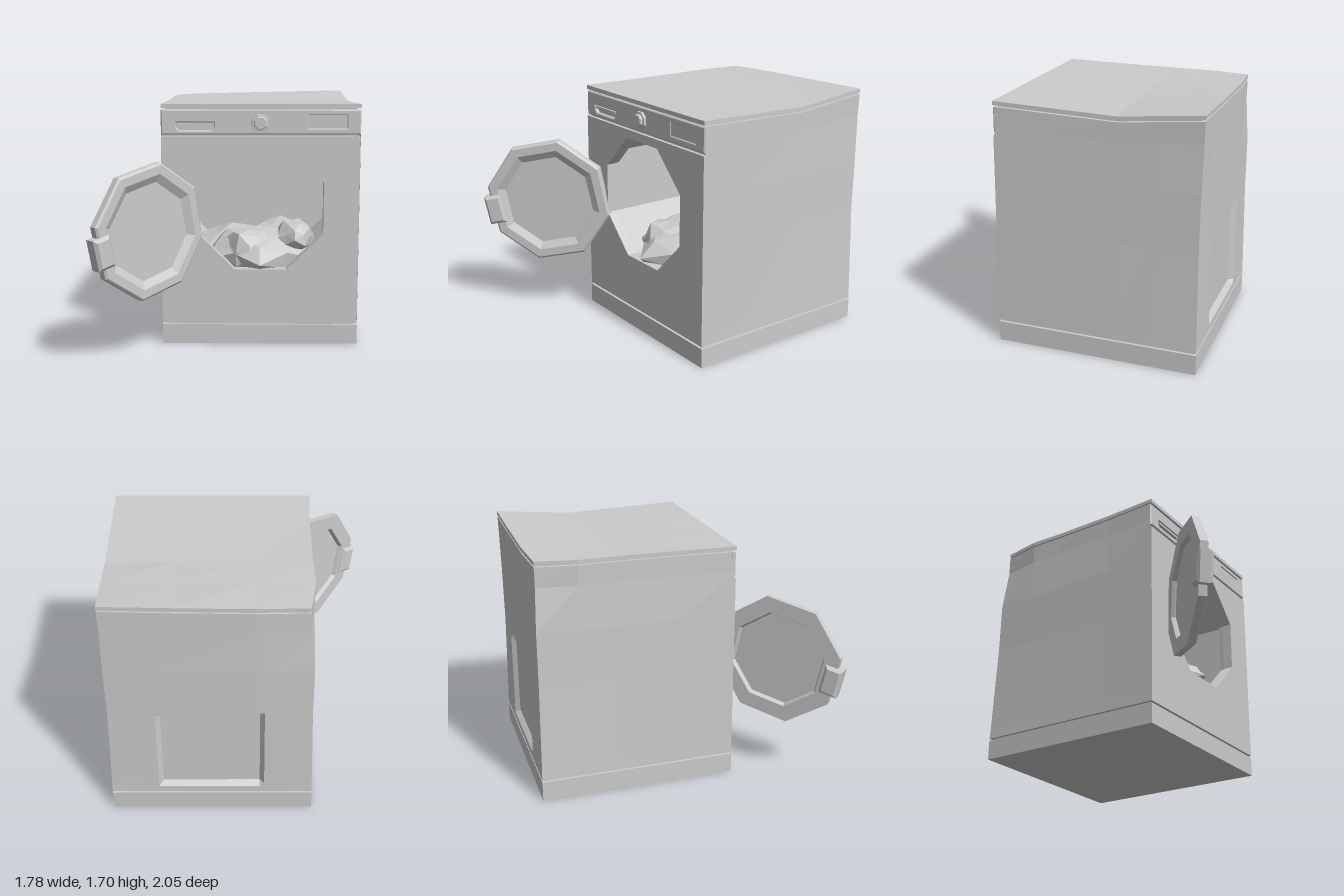
import * as THREE from 'three';

const grey = new THREE.MeshStandardMaterial({ color: 0xcccccc, flatShading: true, side: THREE.DoubleSide });
const CX = 0.195, HOLE_Y = 0.96, FRONT = 0.37;
const clamp = THREE.MathUtils.clamp, smooth = THREE.MathUtils.smoothstep;

function add(parent, name, geo, x = 0, y = 0, z = 0) {
  const m = new THREE.Mesh(geo, grey);
  m.name = name;
  m.position.set(x, y, z);
  parent.add(m);
  return m;
}

// box given by its limits
function slab(parent, name, x0, x1, y0, y1, z0, z1) {
  return add(parent, name, new THREE.BoxGeometry(x1 - x0, y1 - y0, z1 - z0),
    (x0 + x1) / 2, (y0 + y1) / 2, (z0 + z1) / 2);
}

function rectPath(x0, x1, y0, y1, c = 0) {
  const p = [[x0 + c, y0], [x1 - c, y0], [x1, y0 + c], [x1, y1], [x0, y1], [x0, y0 + c]];
  return p.map(([x, y]) => new THREE.Vector2(x, y));
}

function octagon(r, start = Math.PI / 8) {
  return Array.from({ length: 8 }, (_, i) => new THREE.Vector2(
    CX + r * Math.cos(start + i * Math.PI / 4), HOLE_Y + r * Math.sin(start + i * Math.PI / 4)));
}

// dents in the sheet metal, growing towards the back and the top
function dent(v) {
  const t = clamp((0.36 - v.z) / 1.36, 0, 1);
  const high = smooth(v.y, 1.1, 1.6);
  const side = (v.x - CX) / 0.675;
  const left = Math.max(0, side), right = Math.max(0, -side);
  const wave = t < 0.6 ? -0.025 * t / 0.6 : -0.025 + 0.055 * (t - 0.6) / 0.4;
  const mid = Math.sin(Math.PI * clamp((v.y - 0.15) / 1.5, 0, 1));
  v.y += high * wave * (side + 1) / 2;
  v.x += right ** 3 * (high * 0.06 * smooth(t, 0.75, 1) + 0.025 * Math.sin(Math.PI * t) * high + 0.02 * mid * t);
  v.x -= left ** 3 * (high * 0.018 * t + 0.018 * mid * t);
  if (t > 0.98) v.z += high * 0.025 * right ** 2 + 0.012 * mid * side * side;
  return v;
}

// box whose grid lines lie at the given coordinates, dented
function dentedBox(xs, ys, zs, shift) {
  const n = [xs.length - 1, ys.length - 1, zs.length - 1];
  const geo = new THREE.BoxGeometry(1, 1, 1, ...n);
  const pos = geo.attributes.position, v = new THREE.Vector3();
  const pick = (list, k, c) => list[Math.round((c + 0.5) * k)];
  for (let i = 0; i < pos.count; i++) {
    v.fromBufferAttribute(pos, i);
    v.set(pick(xs, n[0], v.x), pick(ys, n[1], v.y), pick(zs, n[2], v.z));
    if (shift) shift(v);
    dent(v);
    pos.setXYZ(i, v.x, v.y, v.z);
  }
  geo.computeVertexNormals();
  return geo;
}

function extrude(points, holes, depth, bevel) {
  const shape = new THREE.Shape(points);
  shape.holes = holes.map(h => new THREE.Path(h));
  return new THREE.ExtrudeGeometry(shape, {
    depth, bevelEnabled: bevel > 0, bevelSize: bevel, bevelThickness: bevel, bevelOffset: -bevel, bevelSegments: 1,
  });
}

// eight-sided ring profile turned to face +z
function turned(points, segments = 8, start = Math.PI / 8) {
  const geo = new THREE.LatheGeometry(points.map(([r, z]) => new THREE.Vector2(r, z)), segments);
  return geo.rotateX(Math.PI / 2).rotateZ(start);
}

// crumpled cloth lump
function lump(parent, x, y, z, sx, sy, sz, seed) {
  const geo = new THREE.IcosahedronGeometry(1, 1);
  const pos = geo.attributes.position, v = new THREE.Vector3();
  for (let i = 0; i < pos.count; i++) {
    v.fromBufferAttribute(pos, i);
    const k = 1 + 0.14 * Math.sin(v.x * 5 + seed) * Math.cos(v.z * 4 + seed * 2) + 0.05 * Math.sin(v.y * 7 + seed);
    pos.setXYZ(i, v.x * sx * k, v.y * sy * k, v.z * sz * k);
  }
  geo.computeVertexNormals();
  add(parent, 'laundryLump', geo, x, y, z).rotation.z = 0.1 * Math.sin(seed * 3);
}

function buildCabinet(root) {
  const cabinet = new THREE.Group();
  cabinet.name = 'cabinet';
  root.add(cabinet);

  // plinth and the shadow gaps below and above the body
  slab(cabinet, 'plinth', -0.485, 0.87, 0, 0.137, -1, FRONT);
  slab(cabinet, 'lowerGap', -0.465, 0.85, 0.13, 0.17, -0.98, 0.35);
  add(cabinet, 'upperGap', dentedBox([-0.46, 0.2, 0.845], [1.62, 1.655], [-0.97, -0.7, -0.45, 0, 0.35]));

  // body shell, open at the front, with a recessed service panel in the back
  const body = dentedBox(
    [-0.485, -0.16, -0.13, 0.52, 0.55, 0.87],
    [0.152, 0.2, 0.23, 0.83, 0.86, 1.2, 1.5, 1.635],
    [-1, -0.7, -0.45, 0, 0.36],
    v => {
      if (v.z === -1 && v.x > -0.15 && v.x < 0.53 && v.y > 0.22 && v.y < 0.84) v.z += 0.035;
    });
  const open = body.groups[4];
  const index = Array.from(body.index.array);
  index.splice(open.start, open.count);
  body.setIndex(index);
  body.clearGroups();
  add(cabinet, 'bodyShell', body);

  // front panel with the loading opening
  add(cabinet, 'frontPanel',
    extrude(rectPath(-0.483, 0.868, 0.152, 1.45), [octagon(0.465)], 0.07, 0), 0, 0, FRONT - 0.07);

  // worktop
  add(cabinet, 'worktop', dentedBox(
    [-0.485, -0.1, 0.4, 0.87], [1.645, 1.672], [-1, -0.7, -0.45, 0, FRONT]));
}

function buildControls(root) {
  const controls = new THREE.Group();
  controls.name = 'controlPanel';
  root.add(controls);
  slab(controls, 'controlBacking', -0.475, 0.86, 1.44, 1.63, 0.3, 0.345);
  add(controls, 'controlFascia', extrude(rectPath(-0.485, 0.87, 1.465, 1.635), [
    rectPath(-0.38, -0.125, 1.493, 1.545, 0.02),
    rectPath(0.52, 0.775, 1.51, 1.595),
  ], 0.02, 0.008), 0, 0, 0.34);
  slab(controls, 'displayWindow', 0.51, 0.785, 1.5, 1.605, 0.34, 0.362);
  slab(controls, 'drawerGrip', -0.37, -0.135, 1.525, 1.54, 0.34, 0.366);
  // dial
  add(controls, 'dial', turned([[0, 0.405 - FRONT], [0.04, 0.405 - FRONT], [0.047, 0.028],
    [0.047, 0.016], [0.062, 0.014], [0.065, -0.01]]), 0.19, 1.545, FRONT);
}

function buildDrum(root) {
  const drum = new THREE.Group();
  drum.name = 'drum';
  root.add(drum);
  add(drum, 'drumWall', turned([[0.465, 0.31], [0.47, 0.27], [0.6, 0.26], [0.6, -0.8], [0, -0.8]]), CX, HOLE_Y, 0);
  // washing heaped in the drum
  lump(drum, 0.19, 0.56, -0.1, 0.4, 0.19, 0.42, 1);
  lump(drum, 0.12, 0.58, 0.08, 0.2, 0.18, 0.2, 2.2);
  lump(drum, 0.44, 0.7, 0.0, 0.13, 0.12, 0.2, 3.1);
  lump(drum, 0.0, 0.58, -0.35, 0.3, 0.14, 0.3, 4.5);
  lump(drum, 0.36, 0.6, -0.4, 0.26, 0.17, 0.3, 5.2);
}

function buildDoor(root) {
  // door swung open by 135 degrees; its own +z is the inner face
  const door = new THREE.Group();
  door.name = 'door';
  door.position.set(-0.54, 0.855, 0.68);
  door.rotation.y = Math.PI / 4;
  root.add(door);
  const tilt = THREE.MathUtils.degToRad(79.4);
  add(door, 'doorRing', turned([[0.33, 0], [0.385, 0.03], [0.445, 0.03], [0.46, 0.018], [0.46, -0.03],
    [0.345, -0.03], [0.335, -0.012], [0.33, 0]], 8, tilt));
  add(door, 'doorPane', turned([[0, 0], [0.335, 0]], 8, tilt));

  // bevelled handle on the free edge
  const a = tilt + Math.PI * 5 / 8;
  const handle = add(door, 'doorHandle', extrude(rectPath(-0.065, 0.065, -0.105, 0.105), [], 0.07, 0.02),
    0.405 * Math.cos(a), 0.405 * Math.sin(a), -0.035);
  handle.rotation.z = a;
}

export function createModel() {
  const root = new THREE.Group();
  root.name = 'washingMachine';
  buildCabinet(root);
  buildControls(root);
  buildDrum(root);
  buildDoor(root);
  return root;
}
